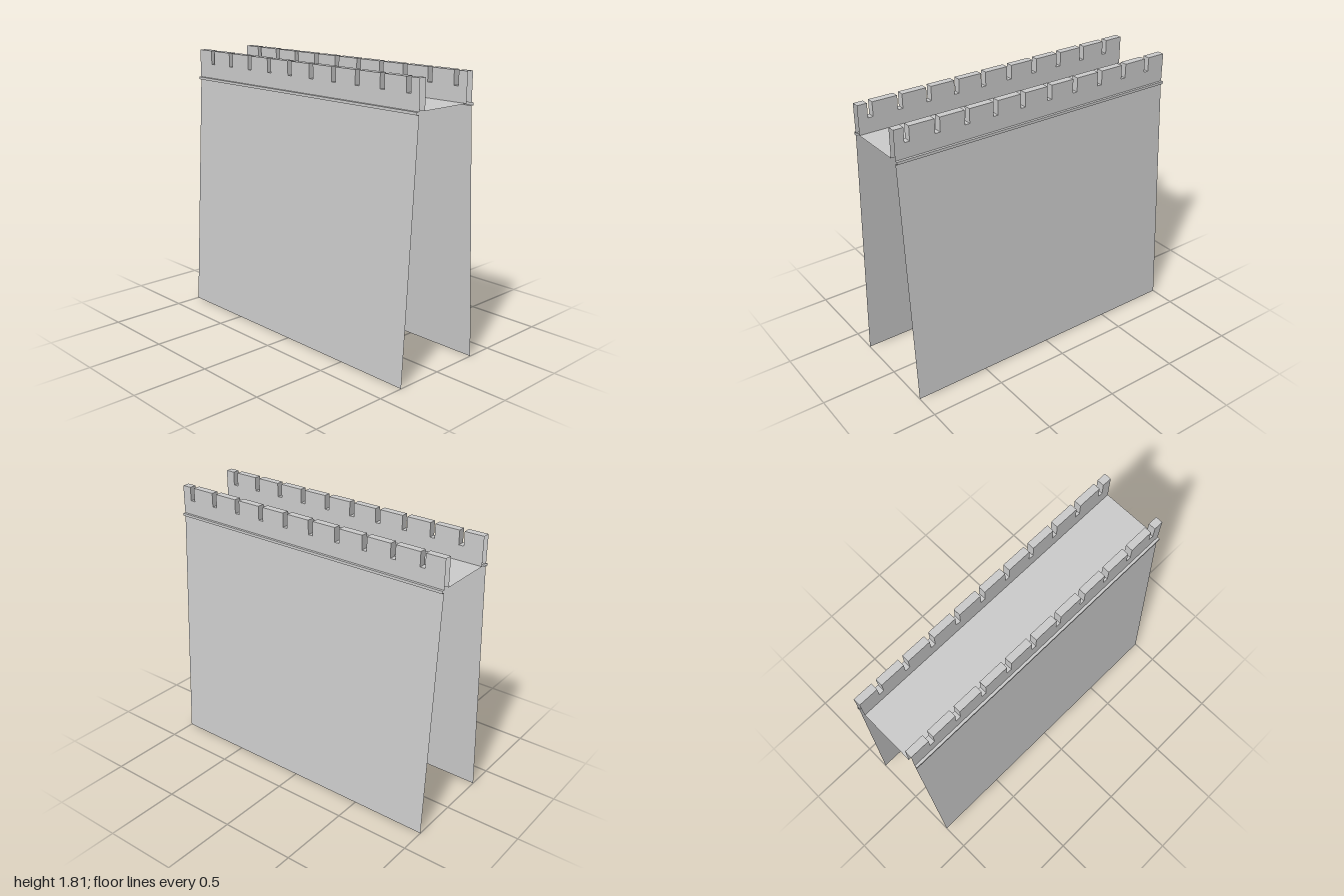
import * as THREE from 'three';

const OUTER = 0.23, INNER = 0.182;               // parapet faces (z)
const FLOOR = 1.62, SILL = 1.715, TOP = 1.806;   // heights
const GAPS = 10, PITCH = 0.1972, GAP_WIDTH = 0.033, FIRST_GAP = -0.872;

const material = new THREE.MeshStandardMaterial({ color: 0xcccccc, side: THREE.DoubleSide, flatShading: true });

function meshFromQuads(name, quads) {
  const positions = [];
  for (const [a, b, c, d] of quads) positions.push(...a, ...b, ...c, ...a, ...c, ...d);
  const geometry = new THREE.BufferGeometry();
  geometry.setAttribute('position', new THREE.Float32BufferAttribute(positions, 3));
  geometry.computeVertexNormals();
  const mesh = new THREE.Mesh(geometry, material);
  mesh.name = name;
  return mesh;
}

// Open sheet: a [z, y] profile swept along x from x0 to x1.
// side = -1 mirrors it to the back and keeps the faces outward.
function sheet(profile, x0, x1, side = 1) {
  const points = profile.map(([z, y]) => [z * side, y]);
  if (side < 0) points.reverse();
  return points.slice(1).map(([z, y], i) => {
    const [pz, py] = points[i];
    return [[x0, py, pz], [x1, py, pz], [x1, y, z], [x0, y, z]];
  });
}

// End face of a merlon beside a gap; facing = +1 or -1 along x
function cheek(x, facing, side) {
  const quad = [[x, SILL, OUTER * side], [x, SILL, INNER * side], [x, TOP, INNER * side], [x, TOP, OUTER * side]];
  return facing * side > 0 ? quad : quad.reverse();
}

function battlement(side) {
  const quads = [];
  const span = (x0, x1, y) =>
    quads.push(...sheet([[OUTER, FLOOR], [OUTER, y], [INNER, y], [INNER, FLOOR]], x0, x1, side));
  let start = -1;
  for (let i = 0; i < GAPS; i++) {
    const g0 = FIRST_GAP + i * PITCH, g1 = g0 + GAP_WIDTH;
    span(start, g0, TOP);
    span(g0, g1, SILL);
    quads.push(cheek(g0, 1, side), cheek(g1, -1, side));
    start = g1;
  }
  span(start, 1, TOP);
  return quads;
}

export function createModel() {
  const group = new THREE.Group();
  group.name = 'castleWall';

  for (const [label, side] of [['front', 1], ['back', -1]]) {
    // Sloping wall face
    group.add(meshFromQuads(label + 'Wall', sheet([[0.325, 0], [OUTER, 1.603]], -1, 1, side)));
    // Thin ledge below the parapet
    group.add(meshFromQuads(label + 'Ledge',
      sheet([[OUTER, 1.603], [0.247, 1.603], [0.247, FLOOR], [OUTER, FLOOR]], -1, 1, side)));
    // Parapet with narrow gaps
    group.add(meshFromQuads(label + 'Battlement', battlement(side)));
  }

  // Walkway between the parapets
  group.add(meshFromQuads('walkway', sheet([[INNER, FLOOR], [-INNER, FLOOR]], -1, 1)));
  return group;
}
